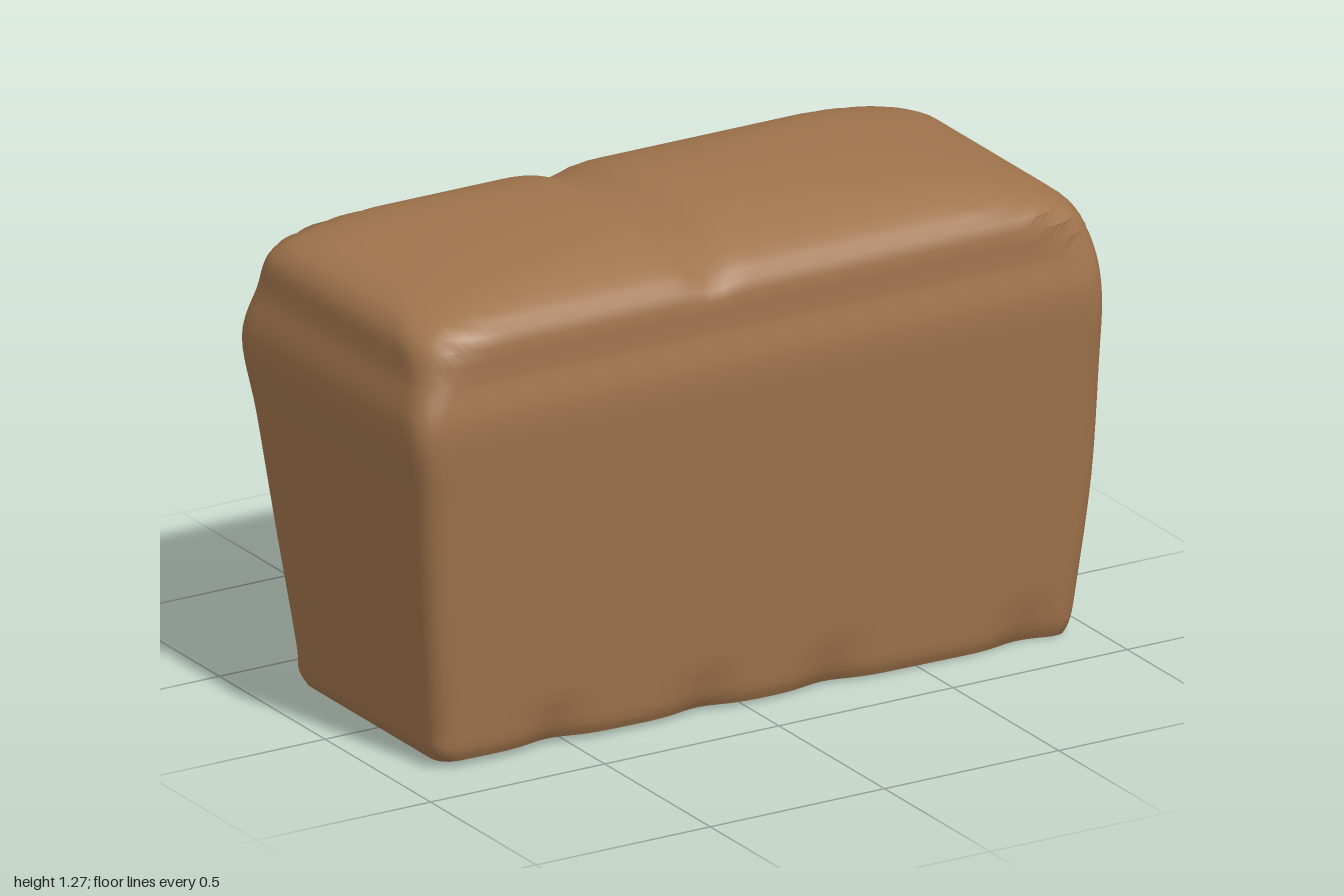
import * as THREE from 'three';
import { mergeVertices, toCreasedNormals } from 'three/addons/utils/BufferGeometryUtils.js';

// Rounded cross-sections: height, left x, right x, back z, front z, corner radius
const rings = [
  [0.00, -0.87, 0.94, -0.335, 0.335, 0.05],
  [0.04, -0.885, 0.95, -0.35, 0.35, 0.05],
  [0.13, -0.895, 0.965, -0.355, 0.36, 0.06],
  [0.42, -0.93, 0.99, -0.39, 0.39, 0.06],
  [0.72, -0.965, 0.99, -0.425, 0.425, 0.06],
  [0.92, -0.995, 0.985, -0.445, 0.448, 0.06],
  [1.05, -0.972, 0.975, -0.428, 0.432, 0.08],
  [1.15, -0.955, 0.93, -0.427, 0.427, 0.14],
  [1.205, -0.88, 0.81, -0.37, 0.37, 0.20],
  [1.238, -0.70, 0.64, -0.28, 0.28, 0.20],
  [1.256, -0.46, 0.42, -0.19, 0.19, 0.15],
  [1.266, -0.22, 0.21, -0.09, 0.09, 0.07],
  [1.268, 0, 0, 0, 0, 0],
];
const SHOULDER = 6; // ring where the side walls meet the crown

// Smoothly blended ring at a fractional index
function ringAt(t) {
  const last = rings.length - 1;
  const i = Math.min(Math.floor(t), last - 1), f = t - i;
  const row = (k) => rings[Math.max(0, Math.min(last, k))];
  const [a, b, c, d] = [row(i - 1), row(i), row(i + 1), row(i + 2)];
  return b.map((v, k) => {
    const m0 = (c[k] - a[k]) / 2, m1 = (d[k] - v) / 2, e = c[k] - v;
    return v + f * (m0 + f * (3 * e - 2 * m0 - m1 + f * (m0 + m1 - 2 * e)));
  });
}

// Point of a rounded rectangle for a position (u, w) on the unit square
function onRing([, xl, xr, zb, zf, radius], u, w) {
  const hx = (xr - xl) / 2, hz = (zf - zb) / 2;
  const r = Math.max(0, Math.min(radius, hx, hz));
  const px = u * hx, pz = w * hz;
  const ix = THREE.MathUtils.clamp(px, r - hx, hx - r);
  const iz = THREE.MathUtils.clamp(pz, r - hz, hz - r);
  const d = Math.hypot(px - ix, pz - iz);
  const s = d > 1e-6 ? r / d : 0;
  return [(xl + xr) / 2 + ix + (px - ix) * s, (zb + zf) / 2 + iz + (pz - iz) * s];
}

function loafGeometry() {
  let geo = new THREE.BoxGeometry(2, 2, 2, 72, 36, 32);
  geo.deleteAttribute('uv');
  geo.deleteAttribute('normal');
  geo = mergeVertices(geo);
  const pos = geo.attributes.position;
  const dents = [-0.55, -0.12, 0.24, 0.8];

  for (let i = 0; i < pos.count; i++) {
    const u = pos.getX(i), v = pos.getY(i), w = pos.getZ(i);
    const c = Math.max(Math.abs(u), Math.abs(w));
    const k = c > 1e-6 ? 1 / c : 0;
    const top = v > 0.9999, bottom = v < -0.9999;
    const t = top
      ? SHOULDER + (1 - c) * (rings.length - 1 - SHOULDER)
      : (v + 1) / 2 * SHOULDER;
    const ring = ringAt(t);
    let [x, z] = onRing(ring, u * k, w * k);
    let y = ring[0];

    // shallow hollow underneath
    if (bottom) {
      x *= c;
      z *= c;
      y += 0.025 * THREE.MathUtils.smoothstep(1 - c, 0.08, 0.35);
    }
    // pinched dents along the lower edges, base slightly raised on one side
    const low = Math.max(0, 1 - y / 0.14);
    for (const dx of dents) z *= 1 - 0.07 * low * Math.exp(-(((x - dx) / 0.08) ** 2));
    y += 0.01 * (1 - x) * low;

    // soft crease across the crown
    const high = THREE.MathUtils.smoothstep(y, 1.08, 1.24);
    y -= 0.028 * high * Math.exp(-(((x + 0.14) / 0.055) ** 2));
    pos.setXYZ(i, x, y, z);
  }
  return toCreasedNormals(geo, 0.9);
}

export function createModel() {
  const group = new THREE.Group();
  group.name = 'breadLoaf';
  const crust = new THREE.MeshStandardMaterial({ color: 0xa0744c });
  crust.name = 'brownCrust';
  const loaf = new THREE.Mesh(loafGeometry(), crust);
  loaf.name = 'loaf';
  group.add(loaf);
  return group;
}
